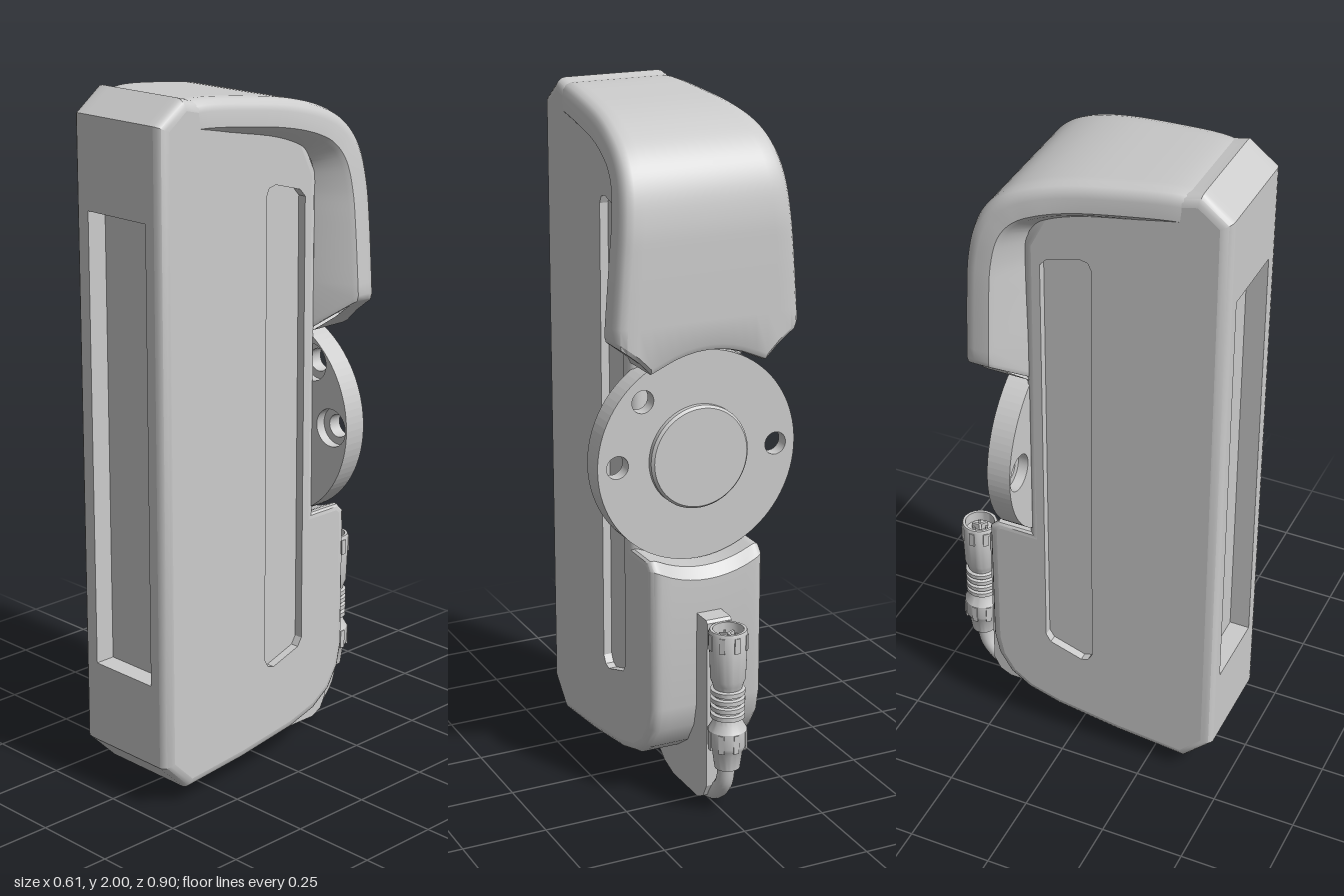
import * as THREE from 'three';
import { toCreasedNormals } from 'three/addons/utils/BufferGeometryUtils.js';

const grey = new THREE.MeshStandardMaterial({ color: 0xcccccc, side: THREE.DoubleSide });
const V = (x, y, z) => new THREE.Vector3(x, y, z);
const HALF = 0.175, BEVEL = 0.03, DISC_Y = 1.02, SCOOP = 0.32;

function add(parent, name, geometry, x = 0, y = 0, z = 0) {
  const mesh = new THREE.Mesh(geometry, grey);
  mesh.name = name;
  mesh.position.set(x, y, z);
  parent.add(mesh);
  return mesh;
}

// Skin over a row of rings with equal point counts
function loft(rings, closed, skip = () => false) {
  const n = rings[0].length, index = [];
  for (let i = 0; i < rings.length - 1; i++) {
    for (let j = 0; j < (closed ? n : n - 1); j++) {
      if (skip(i, j)) continue;
      const k = (j + 1) % n;
      const a = i * n + j, b = i * n + k, c = (i + 1) * n + k, d = (i + 1) * n + j;
      index.push(a, d, c, a, c, b);
    }
  }
  const g = new THREE.BufferGeometry().setFromPoints(rings.flat());
  g.setIndex(index);
  return toCreasedNormals(g, 0.6);
}

// Mitred inward offset of a counter-clockwise outline
function inset(points, amount) {
  const n = points.length;
  return points.map((p, i) => {
    const q = points[(i + n - 1) % n], r = points[(i + 1) % n];
    const normal = (a, b) => {
      const l = Math.hypot(b[0] - a[0], b[1] - a[1]);
      return [-(b[1] - a[1]) / l, (b[0] - a[0]) / l];
    };
    const u = normal(q, p), v = normal(p, r);
    const s = amount / (1 + u[0] * v[0] + u[1] * v[1]);
    return [p[0] + (u[0] + v[0]) * s, p[1] + (u[1] + v[1]) * s];
  });
}

const toShape = pts => new THREE.Shape(pts.map(p => new THREE.Vector2(p[0], p[1])));
const extrude = (shape, depth) =>
  new THREE.ExtrudeGeometry(shape, { depth, bevelEnabled: false, curveSegments: 48 });

// Side outline of the body as [z, y]; the first edge is the front face
const outline = [
  [0.45, 0.125], [0.45, 1.935], [0.365, 2.0], [0.3, 1.985], [0.0, 1.93], [-0.08, 1.86],
  [-0.14, 1.74], [-0.14, 0.76], [-0.24, 0.76], [-0.27, 0.73], [-0.27, 0.3], [-0.255, 0.23],
  [-0.215, 0.165], [-0.15, 0.12], [-0.05, 0.09], [0.15, 0.06], [0.365, 0.04],
];

function buildBody(group) {
  const sections = [];
  for (let k = 0; k <= 4; k++) {
    const a = (k / 4) * Math.PI / 2;
    sections.push([-HALF + BEVEL * (1 - Math.cos(a)), BEVEL * (1 - Math.sin(a))]);
  }
  const inner = HALF - BEVEL;
  const middle = [];
  for (let k = 1; k < 10; k++) middle.push([-inner + 2 * inner * k / 10, 0]);
  const all = [...sections, ...middle, ...sections.map(([x, d]) => [-x, d]).reverse()];
  const rings = all.map(([x, d]) => inset(outline, d).map(([z, y]) => {
    // concave shelf that follows the round mounting disc
    const drop = Math.sqrt(SCOOP ** 2 - x * x) - Math.sqrt(SCOOP ** 2 - HALF ** 2);
    return V(x, z < -0.1 && y > 0.68 && y < 0.8 ? y - drop : y, z);
  }));
  add(group, 'bodyShell', loft(rings, true, (i, j) =>
    j === 0 && all[i][1] < 1e-6 && all[i + 1][1] < 1e-6));

  // Side panels with a long slanted groove
  const slot = [[0.03, 0.315], [0.052, 0.322], [0.065, 0.345], [0.065, 1.7], [0.055, 1.722], [0.03, 1.728],
    [-0.065, 1.702], [-0.085, 1.68], [-0.085, 0.372], [-0.07, 0.348]];
  slot.reverse();
  for (const side of [1, -1]) {
    const panel = toShape(inset(outline, BEVEL));
    panel.holes.push(toShape(slot));
    const g = extrude(panel, 0.025).rotateY(-Math.PI / 2);
    add(group, 'sidePanel', g, side > 0 ? HALF : -HALF + 0.025);
    const floor = extrude(toShape(slot), 0.005).rotateY(-Math.PI / 2);
    add(group, 'grooveFloor', floor, side > 0 ? 0.15 : -0.145);
  }

  // Front frame with a sunken window
  const rect = (x0, y0, x1, y1) => toShape([[x0, y0], [x1, y0], [x1, y1], [x0, y1]]);
  const frame = rect(-inner, 0.125, inner, 1.935);
  frame.holes.push(rect(-0.115, 0.365, 0.112, 1.675));
  add(group, 'frontFrame', extrude(frame, 0.06), 0, 0, 0.39);
  add(group, 'frontWindow', new THREE.BoxGeometry(0.24, 1.33, 0.01), 0, 1.02, 0.385);
}

// Flared hood that runs along the top and down the back
function buildHood(group) {
  const path = new THREE.CatmullRomCurve3([
    // half width, y, z
    V(0.165, 1.985, 0.37), V(0.178, 1.993, 0.3), V(0.196, 1.982, 0.15), V(0.214, 1.962, 0),
    V(0.228, 1.935, -0.1), V(0.236, 1.9, -0.17), V(0.242, 1.85, -0.22), V(0.248, 1.79, -0.25),
    V(0.256, 1.7, -0.267), V(0.265, 1.6, -0.27), V(0.278, 1.43, -0.27),
  ]);
  const section = w => {
    const half = [[0.165, 0.09 + 0.5 * Math.max(0, w - 0.165)], [w - 0.012, 0.09], [w, 0.078],
      [w, 0.035], [w - 0.004, 0.018], [w - 0.014, 0.006]];
    const across = [];
    for (let k = 0; k <= 14; k++) across.push([(w - 0.032) * (1 - k / 7), 0]);
    return [...half, ...across, ...half.map(([x, d]) => [-x, d]).reverse()];
  };
  const N = 44, rings = [];
  for (let i = 0; i <= N; i++) {
    const p = path.getPoint(i / N), t = path.getTangent(i / N);
    const l = Math.hypot(t.y, t.z), nz = t.y / l, ny = -t.z / l;
    rings.push(section(p.x).map(([x, d]) => V(x, p.y - ny * d, p.z - nz * d)));
  }
  // Lower edge: an arch over the disc, rising towards the outer corners
  const bottom = x => {
    const a = Math.abs(x);
    return a <= HALF ? DISC_Y + Math.sqrt(SCOOP ** 2 - a * a)
      : 1.288 + 0.09 * Math.pow((a - HALF) / 0.105, 0.8);
  };
  const last = section(0.28);
  rings.push(last.map(([x, d]) => V(x, bottom(x) + 0.02, -0.27 + d)));
  rings.push(last.map(([x, d]) => V(x * 0.985, bottom(x) + 0.004, -0.27 + Math.max(d, 0.008))));
  rings.push(last.map(([x, d]) => V(x * 0.97, bottom(x), -0.27 + Math.max(d, 0.022))));
  rings.push(last.map(([x]) => V(x * 0.97, bottom(x), -0.27 + (Math.abs(x) > 0.19 ? 0.09 : 0.145))));
  add(group, 'hood', loft(rings, false));
}

// Round mounting disc with three counterbored holes and a raised boss
function buildDisc(group) {
  const plate = holeRadius => {
    const s = new THREE.Shape().absarc(0, 0, 0.305, 0, Math.PI * 2);
    for (const a of [0, Math.PI * 0.26, Math.PI]) {
      s.holes.push(new THREE.Path().absarc(0.245 * Math.cos(a), 0.245 * Math.sin(a), holeRadius, 0, Math.PI * 2));
    }
    return s;
  };
  add(group, 'discFront', extrude(plate(0.055), 0.03), 0, DISC_Y, -0.155);
  add(group, 'discBack', extrude(plate(0.033), 0.04), 0, DISC_Y, -0.195);
  const boss = [[0, 0], [0.15, 0], [0.15, 0.014], [0.143, 0.022], [0, 0.022]].map(p => new THREE.Vector2(...p));
  const g = toCreasedNormals(new THREE.LatheGeometry(boss, 64), 0.5).rotateX(-Math.PI / 2);
  add(group, 'discBoss', g, 0, DISC_Y, -0.195);
}

function buildCable(group) {
  // Fin that carries the cable out of the lower back
  const fin = toShape([[-0.2, 0.58], [-0.328, 0.58], [-0.336, 0.572], [-0.336, 0.07], [-0.315, 0.03], [-0.28, 0.012],
    [-0.12, 0.012], [-0.06, 0.03], [-0.02, 0.06], [0.0, 0.1], [-0.2, 0.2]]);
  add(group, 'cableFin', extrude(fin, 0.076).rotateY(-Math.PI / 2), 0.038);
  const curve = new THREE.CatmullRomCurve3([V(0, 0.06, -0.04), V(0, 0.028, -0.12), V(0, 0.025, -0.26),
    V(0, 0.045, -0.325), V(0, 0.095, -0.372), V(0, 0.18, -0.39)]);
  add(group, 'cable', new THREE.TubeGeometry(curve, 48, 0.025, 16));

  // Connector: turned housing with strain-relief ribs and an open socket
  const connector = new THREE.Group();
  connector.name = 'connector';
  connector.position.z = -0.39;
  group.add(connector);
  const profile = [[0, 0.15], [0.036, 0.15], [0.043, 0.2], [0.052, 0.215], [0.055, 0.225], [0.055, 0.27], [0.044, 0.29]];
  for (let y = 0.305; y < 0.38; y += 0.024) profile.push([0.04, y], [0.049, y + 0.003], [0.049, y + 0.016], [0.04, y + 0.019]);
  profile.push([0.044, 0.41], [0.05, 0.425], [0.055, 0.565], [0.052, 0.573], [0.044, 0.573], [0.044, 0.54], [0, 0.54]);
  const body = new THREE.LatheGeometry(profile.map(p => new THREE.Vector2(...p)), 40);
  add(connector, 'housing', toCreasedNormals(body, 0.5));
  for (let i = 0; i < 8; i++) {
    const a = (i / 8) * Math.PI * 2;
    for (const [y, h] of [[0.24, 0.055], [0.54, 0.045]]) {
      const rib = add(connector, 'gripRib', new THREE.BoxGeometry(0.016, h, 0.006), 0.054 * Math.sin(a), y, 0.054 * Math.cos(a));
      rib.rotation.y = a;
    }
  }
  for (let i = 0; i < 3; i++) {
    const a = (i / 3) * Math.PI * 2;
    const key = add(connector, 'socketKey', new THREE.BoxGeometry(0.007, 0.02, 0.026), 0.013 * Math.sin(a + Math.PI), 0.55, 0.013 * Math.cos(a + Math.PI));
    key.rotation.y = a;
    add(connector, 'pin', new THREE.CylinderGeometry(0.004, 0.004, 0.02, 12), 0.022 * Math.sin(a), 0.55, 0.022 * Math.cos(a));
  }
}

export function createModel() {
  const model = new THREE.Group();
  model.name = 'wallUnit';
  for (const [name, build] of [['body', buildBody], ['hoodCover', buildHood], ['mountingDisc', buildDisc], ['cableSet', buildCable]]) {
    const part = new THREE.Group();
    part.name = name;
    build(part);
    model.add(part);
  }
  return model;
}
